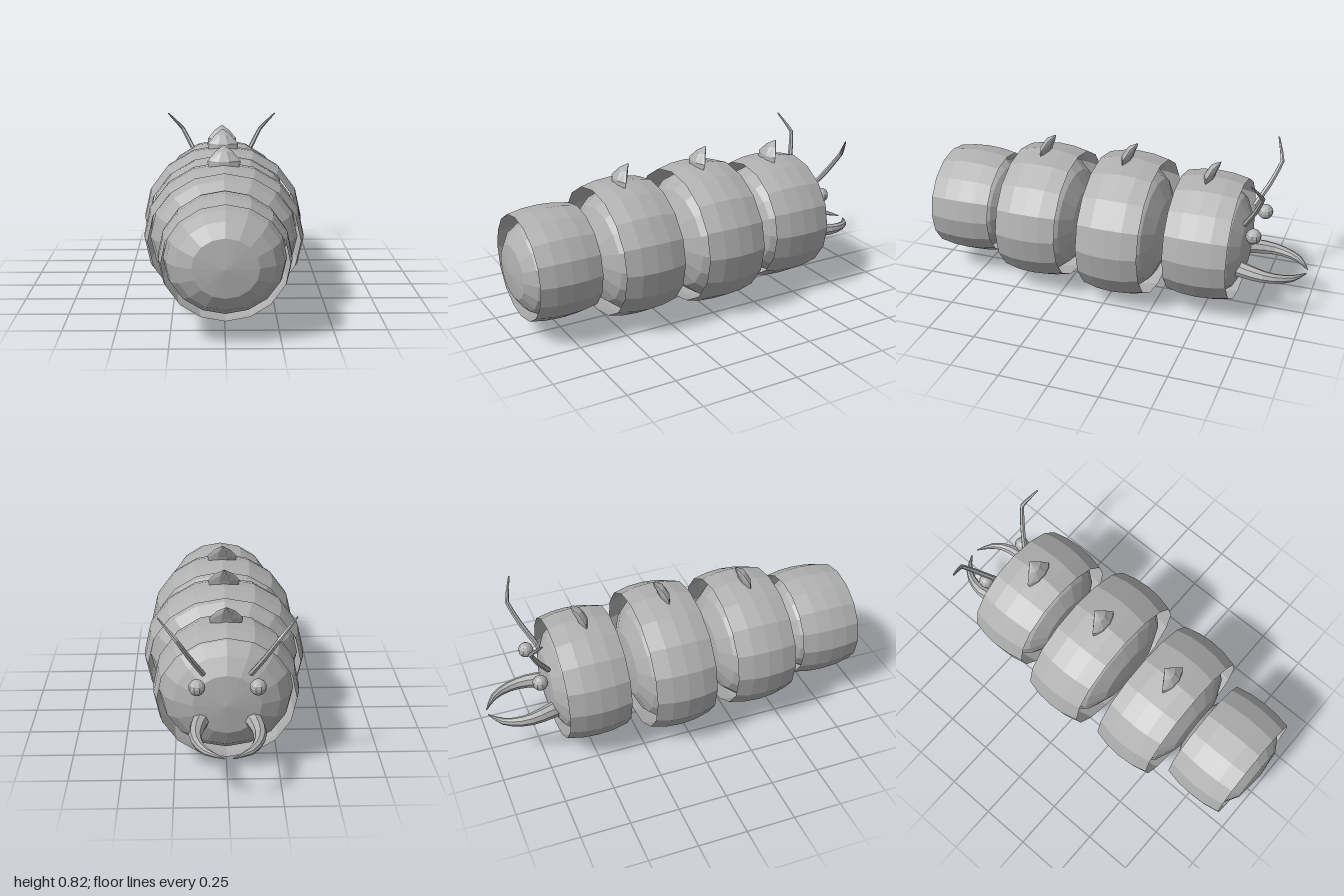
import * as THREE from 'three';

const grey = new THREE.MeshStandardMaterial({ color: 0xb0b0b0, flatShading: true, side: THREE.DoubleSide });
grey.name = 'grey';

function addMesh(parent, geometry, name) {
  const mesh = new THREE.Mesh(geometry, grey);
  mesh.name = name;
  parent.add(mesh);
  return mesh;
}

// 16-sided form turned around the z axis; profile is [radius, z]
function turned(profile) {
  const points = profile.map(([r, z]) => new THREE.Vector2(r, z));
  return new THREE.LatheGeometry(points, 16).rotateX(Math.PI / 2);
}

// Tube along a path, with each ring scaled by the interpolated radii
function taperedTube(points, radii, rings, sides, tension) {
  const curve = new THREE.CatmullRomCurve3(points.map(p => new THREE.Vector3(...p)), false, 'catmullrom', tension);
  const geometry = new THREE.TubeGeometry(curve, rings, 1, sides);
  const pos = geometry.attributes.position;
  const v = new THREE.Vector3();
  for (let i = 0; i < pos.count; i++) {
    const t = Math.floor(i / (sides + 1)) / rings;
    const f = t * (radii.length - 1);
    const k = Math.min(Math.floor(f), radii.length - 2);
    const radius = THREE.MathUtils.lerp(radii[k], radii[k + 1], f - k);
    const centre = curve.getPointAt(t);
    v.fromBufferAttribute(pos, i).sub(centre).multiplyScalar(radius).add(centre);
    pos.setXYZ(i, v.x, v.y, v.z);
  }
  return geometry;
}

// Rounded body whose fullness rises as the power falls
function bodyGeometry(power) {
  const profile = [];
  for (let i = 0; i <= 8; i++) {
    const a = (i / 8) * Math.PI;
    profile.push([Math.pow(Math.max(Math.sin(a), 0), power), -Math.cos(a)]);
  }
  profile[0][0] = profile[8][0] = 0;
  return turned(profile);
}

// Lens-shaped back spike that leans towards the head
function spikeGeometry() {
  // height, z offset, half width, half depth
  const rows = [[-0.04, 0.015, 0.07, 0.02], [0.015, 0.005, 0.08, 0.028],
    [0.058, -0.017, 0.042, 0.024], [0.085, -0.045, 0.003, 0.003]];
  const geometry = new THREE.CylinderGeometry(1, 1, 3, 10, 3);
  const pos = geometry.attributes.position;
  for (let i = 0; i < pos.count; i++) {
    const [y, dz, hx, hz] = rows[Math.round(pos.getY(i) + 1.5)];
    const x = pos.getZ(i), z = pos.getX(i);
    pos.setXYZ(i, -x * hx, y, dz + z * Math.abs(z) * hz);
  }
  return geometry;
}

export function createModel() {
  const model = new THREE.Group();
  model.name = 'segmentedGrub';

  // Segments from head to tail, each a round body inside an open armour band
  const segments = [
    { name: 'head', z: -0.492, rx: 0.35, ry: 0.327, y: 0.374, power: 0.72, spike: true },
    { name: 'frontSegment', z: -0.06, rx: 0.41, ry: 0.367, y: 0.37, power: 0.75, spike: true },
    { name: 'middleSegment', z: 0.385, rx: 0.387, ry: 0.346, y: 0.374, power: 0.75, spike: true },
    { name: 'tailSegment', z: 0.79, rx: 0.302, ry: 0.28, y: 0.374, power: 0.65, spike: false },
  ];
  for (const s of segments) {
    const group = new THREE.Group();
    group.name = s.name;
    model.add(group);

    const body = addMesh(group, bodyGeometry(s.power), s.name + 'Body');
    body.scale.set(s.rx * 0.925, s.ry * 0.9, 0.208);
    body.position.set(0, s.y - 0.014, s.z);

    const band = addMesh(group, turned([[0.935, -0.16], [0.985, -0.08], [1, 0], [0.985, 0.08], [0.935, 0.16]]), s.name + 'Band');
    band.scale.set(s.rx, s.ry, 1);
    band.position.set(0, s.y, s.z);

    if (s.spike) {
      const spike = addMesh(group, spikeGeometry(), s.name + 'Spike');
      spike.position.set(0, s.y + s.ry - 0.002, s.z + 0.008);
    }
  }

  // Paired face parts
  for (const [side, label] of [[1, 'left'], [-1, 'right']]) {
    const eye = addMesh(model, new THREE.SphereGeometry(0.039, 10, 8), label + 'Eye');
    eye.position.set(side * 0.14, 0.477, -0.742);

    const antenna = [[0.11, 0.52, -0.69], [0.17, 0.625, -0.75], [0.228, 0.73, -0.793], [0.31, 0.823, -0.753]];
    addMesh(model, taperedTube(antenna.map(([x, y, z]) => [side * x, y, z]),
      [0.014, 0.013, 0.011, 0.004], 9, 6, 0.15), label + 'Antenna');

    const mandible = [[0.12, 0.275, -0.66], [0.143, 0.27, -0.75], [0.145, 0.262, -0.84], [0.105, 0.255, -0.935], [0.02, 0.25, -0.997]];
    addMesh(model, taperedTube(mandible.map(([x, y, z]) => [side * x, y, z]),
      [0.042, 0.035, 0.026, 0.017, 0.003], 8, 8, 0.5), label + 'Mandible');
  }
  return model;
}
